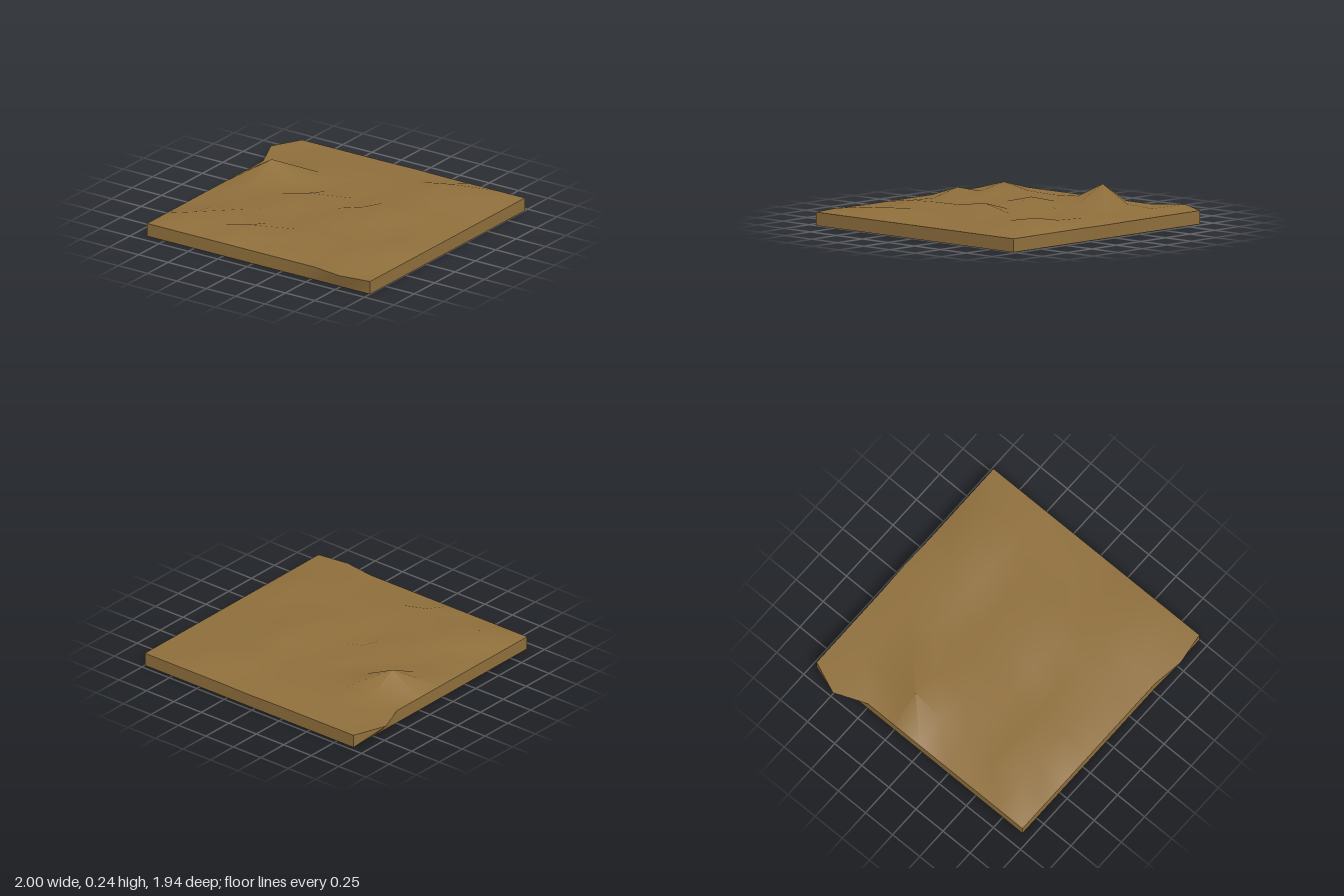
import * as THREE from 'three';
import { toCreasedNormals } from 'three/addons/utils/BufferGeometryUtils.js';

const SIZE = 1.9, CELLS = 8, RIM = 0.096;
const CENTRE_X = 0.05, CENTRE_Z = -0.018;

// Heights of the inner grid points: rows from back to front, columns from -x to +x
const HEIGHTS = [
  [0.11, 0.11, 0.12, 0.12, 0.13, 0.17, 0.12],
  [0.12, 0.12, 0.12, 0.11, 0.12, 0.13, 0.12],
  [0.24, 0.13, 0.11, 0.11, 0.13, 0.12, 0.11],
  [0.13, 0.12, 0.175, 0.115, 0.18, 0.12, 0.115],
  [0.115, 0.11, 0.12, 0.12, 0.145, 0.12, 0.115],
  [0.12, 0.155, 0.11, 0.115, 0.14, 0.12, 0.15],
  [0.16, 0.12, 0.172, 0.12, 0.13, 0.11, 0.13],
];

// Rim points pushed outwards: [column, row, dx, dy, dz]
const BULGES = [
  [0, 1, -0.1, 0.01, 0],
  [7, 8, 0, 0, 0.033],
  [4, 0, 0, 0, -0.006],
];

export function createModel() {
  const group = new THREE.Group();
  group.name = 'groundTile';

  // Slab whose upper grid points are raised into uneven ground
  const slab = new THREE.BoxGeometry(SIZE, RIM, SIZE, CELLS, 1, CELLS);
  slab.translate(0, RIM / 2, 0);
  const pos = slab.attributes.position;
  for (let i = 0; i < pos.count; i++) {
    if (pos.getY(i) < RIM / 2) continue;
    const col = Math.round((pos.getX(i) / SIZE + 0.5) * CELLS);
    const row = Math.round((pos.getZ(i) / SIZE + 0.5) * CELLS);
    pos.setY(i, HEIGHTS[row - 1]?.[col - 1] ?? RIM);
    for (const [c, r, dx, dy, dz] of BULGES) {
      if (c !== col || r !== row) continue;
      pos.setXYZ(i, pos.getX(i) + dx, pos.getY(i) + dy, pos.getZ(i) + dz);
    }
  }
  slab.translate(CENTRE_X, 0, CENTRE_Z);

  // Smooth ground, sharp rim
  const ground = new THREE.Mesh(
    toCreasedNormals(slab, Math.PI / 4),
    new THREE.MeshStandardMaterial({ color: 0x8f6f3c })
  );
  ground.name = 'ground';
  group.add(ground);
  return group;
}
